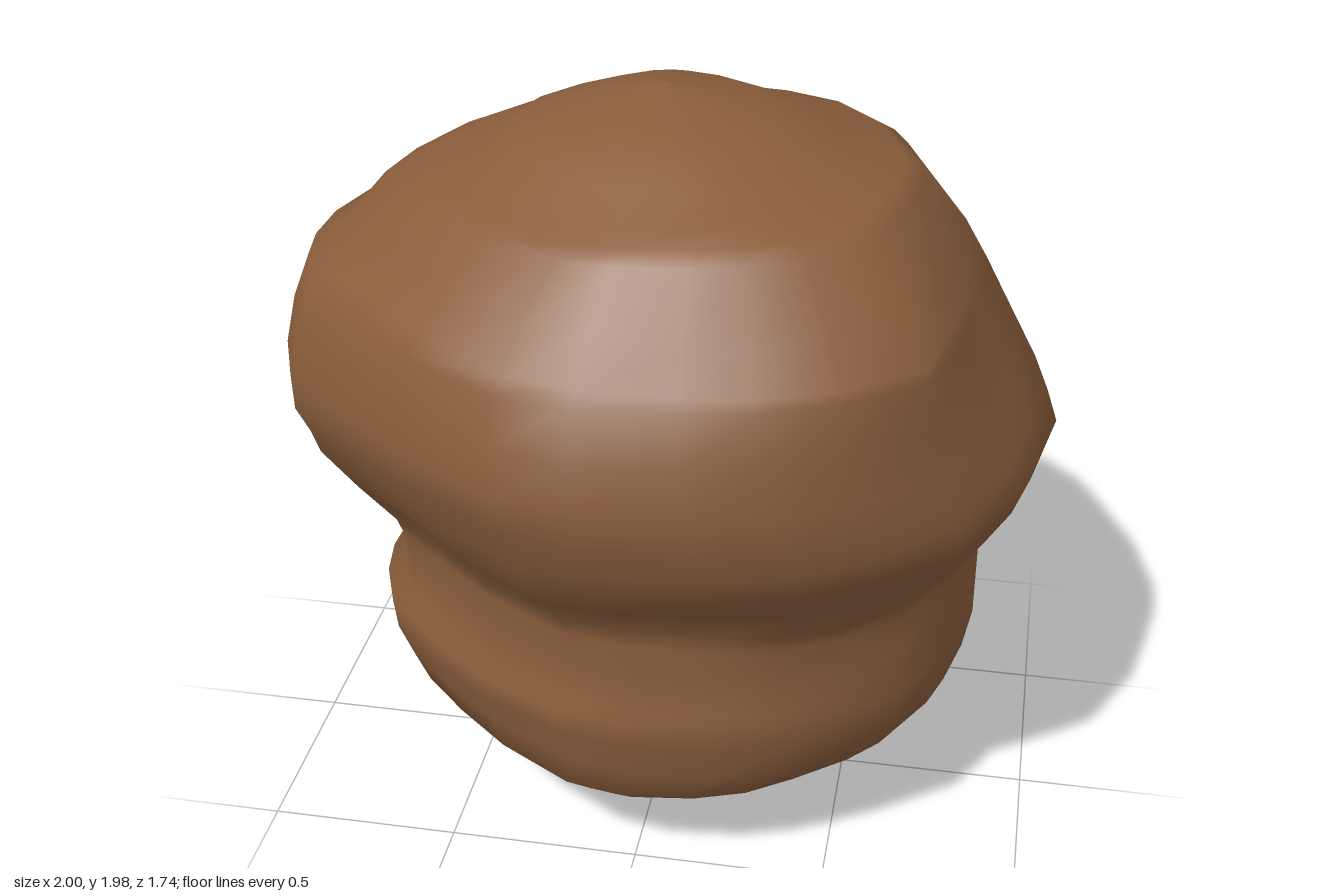
import * as THREE from 'three';

// Plan outline of the widest part, as x, z pairs running from left to front to right to back
const OUTLINE = [
  1, -0.1, 0.96, 0.1, 0.92, 0.3, 0.8, 0.56, 0.6, 0.7, 0.43, 0.8, 0.24, 0.85, -0.04, 0.87,
  -0.24, 0.83, -0.5, 0.65, -0.7, 0.48, -0.9, 0.32, -0.97, 0.15, -1, 0, -1, -0.18, -0.95, -0.38,
  -0.73, -0.65, -0.4, -0.83, -0.18, -0.87, 0, -0.83, 0.35, -0.74, 0.58, -0.64, 0.76, -0.45, 0.84, -0.33,
];

// Cross-sections: height, x min, x max, z min, z max
const RINGS = [
  [0, -0.02, -0.02, -0.12, -0.12],
  [0.02, -0.24, 0.14, -0.24, 0.12],
  [0.06, -0.31, 0.3, -0.29, 0.27],
  [0.1, -0.36, 0.34, -0.33, 0.31],
  [0.2, -0.54, 0.57, -0.48, 0.5],
  [0.29, -0.69, 0.7, -0.61, 0.6],
  [0.37, -0.74, 0.79, -0.69, 0.62],
  [0.47, -0.78, 0.83, -0.72, 0.65],
  [0.55, -0.79, 0.83, -0.73, 0.66],
  [0.58, -0.74, 0.83, -0.71, 0.64],
  [0.7, -0.73, 0.83, -0.71, 0.64],
  [0.78, -0.74, 0.82, -0.71, 0.65],
  [0.82, -0.75, 0.84, -0.7, 0.65],
  [0.92, -0.85, 0.91, -0.76, 0.72],
  [1.03, -0.95, 0.98, -0.82, 0.8],
  [1.1, -0.97, 1, -0.82, 0.82],
  [1.18, -1, 0.97, -0.86, 0.86],
  [1.28, -1, 0.93, -0.87, 0.87],
  [1.4, -0.97, 0.87, -0.84, 0.84],
  [1.52, -0.92, 0.81, -0.76, 0.79],
  [1.55, -0.86, 0.79, -0.73, 0.76],
  [1.65, -0.77, 0.73, -0.67, 0.69],
  [1.77, -0.62, 0.63, -0.57, 0.59],
  [1.8, -0.54, 0.58, -0.53, 0.56],
  [1.82, -0.47, 0.5, -0.46, 0.5],
  [1.88, -0.38, 0.4, -0.34, 0.39],
  [1.94, -0.21, 0.23, -0.22, 0.25],
  [1.98, -0.01, -0.01, -0.02, -0.02],
];

// Local swellings: amount, plan angle, angular width, height, vertical width
const BULGES = [
  [0.12, 0.8, 0.35, 1.6, 0.2], // front left shoulder
  [0.11, -0.8, 0.35, 1.56, 0.22], // back left shoulder
  [0.05, 2.1, 0.35, 1.62, 0.15], // front right shoulder
  [0.03, -0.8, 0.35, 0.7, 0.35], // back left of the waist
  [0.08, -2.05, 0.35, 0.24, 0.13], // underside at the back
  [-0.03, 0.8, 0.4, 0.25, 0.15], // underside at the front left
];

// Skins the cross-sections into one lumpy closed body
function lumpyBody() {
  const n = OUTLINE.length / 2;
  const pos = [];
  const index = [];
  RINGS.forEach(([y, x0, x1, z0, z1], j) => {
    // the stem and crown are rounder than the wide middle
    const round = y < 0.9 ? 0.4 : y > 1.75 ? 0.7 : 0.1;
    const waist = Math.exp(-(((y - 0.88) / 0.1) ** 2));
    for (let i = 0; i < n; i++) {
      const ox = OUTLINE[2 * i];
      const oz = OUTLINE[2 * i + 1] / 0.87;
      const a = Math.atan2(oz, ox);
      let s = 1 - round + round / Math.hypot(ox, oz);
      // folds around the waist, then the local swellings
      s *= 1 + 0.02 * waist * Math.sin(7 * a + 0.6);
      for (const [amount, a0, aw, y0, yw] of BULGES) {
        s *= 1 + amount * Math.exp(-(((a - a0) / aw) ** 2) - ((y - y0) / yw) ** 2);
      }
      const wave = y > 0.1 && y < 1.7 ? 0.008 * Math.sin(3 * a + j * 1.3) : 0;
      const tilt = y > 1.7 && y < 1.85 ? 0.015 * ox : 0;
      pos.push(
        (x0 + x1) / 2 + (ox * s * (x1 - x0)) / 2,
        y + wave + tilt,
        (z0 + z1) / 2 + (oz * s * (z1 - z0)) / 2,
      );
      if (j < RINGS.length - 1) {
        const p = j * n + i;
        const q = j * n + ((i + 1) % n);
        index.push(p, p + n, q, q, p + n, q + n);
      }
    }
  });
  const g = new THREE.BufferGeometry();
  g.setAttribute('position', new THREE.Float32BufferAttribute(pos, 3));
  g.setIndex(index);
  g.computeVertexNormals();
  return g;
}

export function createModel() {
  const group = new THREE.Group();
  group.name = 'lumpyMound';
  const brown = new THREE.MeshStandardMaterial({ color: 0x8b5e3c });
  brown.name = 'earthBrown';
  const body = new THREE.Mesh(lumpyBody(), brown);
  body.name = 'body';
  group.add(body);
  return group;
}
